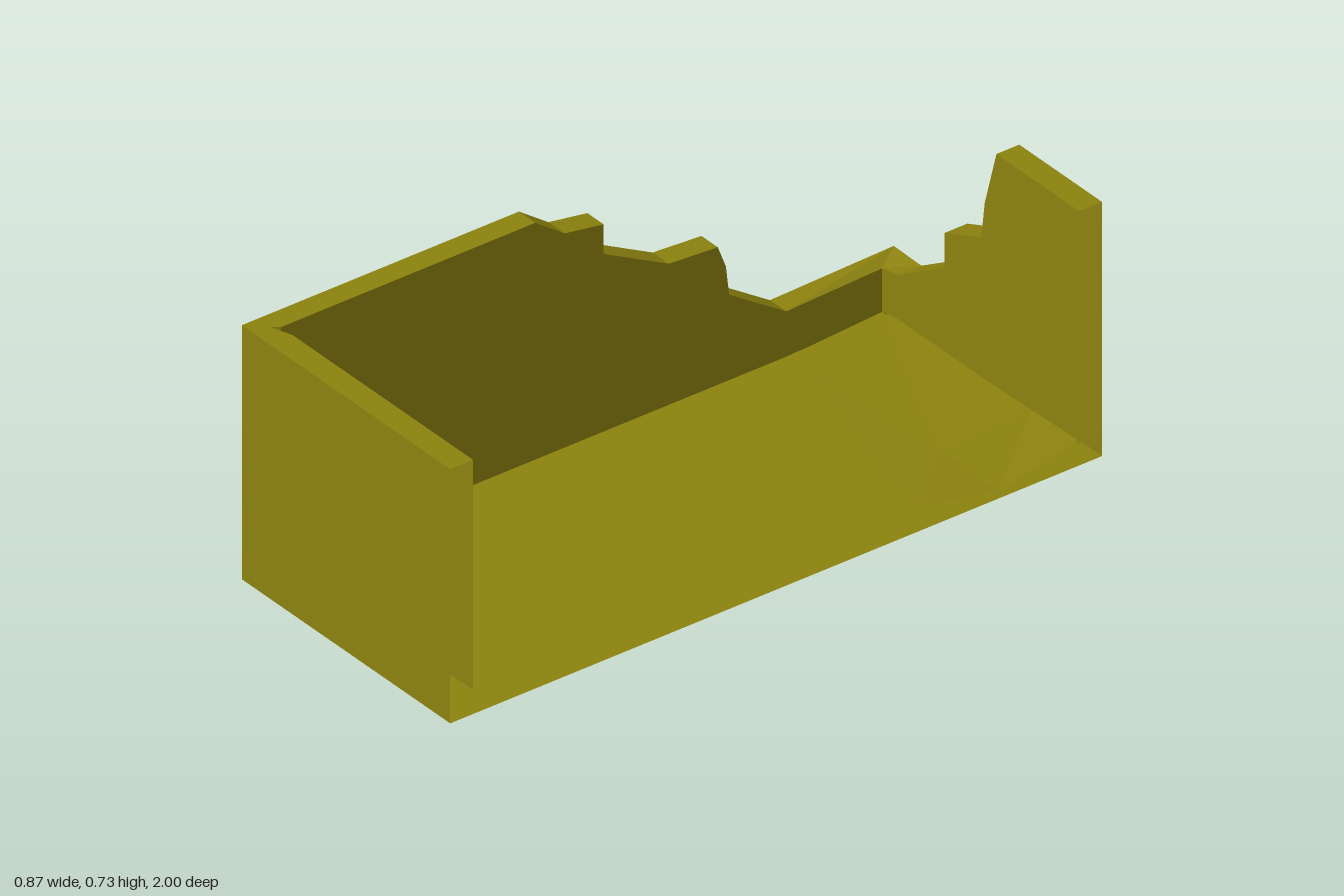
import * as THREE from 'three';

const material = new THREE.MeshStandardMaterial({
  color: 0x8c820f, flatShading: true, side: THREE.DoubleSide,
});

// Skin a row of cross-sections (each a list of [x, y, z]) with quads.
function skin(name, sections) {
  const n = sections[0].length;
  const index = [];
  for (let i = 0; i < sections.length - 1; i++) {
    for (let j = 0; j < n - 1; j++) {
      const a = i * n + j, b = a + n;
      index.push(a, b, a + 1, b, b + 1, a + 1);
    }
  }
  const geometry = new THREE.BufferGeometry();
  geometry.setAttribute('position', new THREE.Float32BufferAttribute(sections.flat(2), 3));
  geometry.setIndex(index);
  geometry.computeVertexNormals();
  const mesh = new THREE.Mesh(geometry, material);
  mesh.name = name;
  return mesh;
}

// Wall section: up the outside, across the rim, down the inside.
// outer and inner are [x, z]; the two rim heights may differ.
const wallSection = (outer, inner, top, innerTop = top, foot = 0.06) => [
  [outer[0], 0, outer[1]],
  [outer[0], top, outer[1]],
  [inner[0], innerTop, inner[1]],
  [inner[0], foot, inner[1]],
];

export function createModel() {
  const group = new THREE.Group();
  group.name = 'ruinedHouse';
  const L = -0.44, R = 0.39, H = 0.73;

  // Intact front wall, open at its +x end
  group.add(skin('frontWall', [
    wallSection([L, 1], [-0.39, 0.95], H, H, 0.05),
    wallSection([-0.33, 1], [-0.33, 0.93], H, H, 0.05),
    wallSection([R, 1], [R, 0.93], H, H, 0.07),
  ]));

  // Side wall, crumbling in steps toward the back: [z, height]
  const sideProfile = [
    [0.93, H], [0.15, H], [0.06, 0.665], [-0.06, 0.645], [-0.06, 0.56],
    [-0.26, 0.455], [-0.41, 0.445], [-0.435, 0.38], [-0.445, 0.295],
    [-0.62, 0.18],
  ];
  group.add(skin('sideWall', [
    wallSection([L, 1], [-0.39, 0.95], H, H, 0.05),
    ...sideProfile.map(([z, y]) => wallSection([L, z], [-0.375, z], y, y, 0.05)),
    wallSection([L, -1], [-0.395, -0.93], 0.19, 0.175, 0.05),
  ]));

  // Back wall, broken down toward the side wall: [x, height]
  const backProfile = [
    [-0.33, 0.188], [-0.138, 0.305], [-0.147, 0.4], [0, 0.46],
    [0.013, 0.565], [0.06, H], [R, H],
  ];
  group.add(skin('backWall', [
    wallSection([L, -1], [-0.395, -0.93], 0.19, 0.175, 0.05),
    ...backProfile.map(([x, y]) => wallSection([x, -1], [x, -0.93], y)),
  ]));

  // Floor, with a worn lip spilling over the open side
  group.add(skin('floor', [
    [[-0.39, 0.05, 0.95], [-0.33, 0.05, 0.93], [R, 0.07, 0.93]],
    [[-0.375, 0.05, -0.45], [0.2, 0.065, -0.45], [R, 0.07, -0.45]],
    [[-0.375, 0.05, -0.65], [0.2, 0.06, -0.65], [0.43, 0.052, -0.65]],
    [[-0.395, 0.05, -0.93], [0.2, 0.065, -0.93], [0.385, 0.07, -0.93]],
  ]));

  // Underside
  group.add(skin('base', [
    [[L, 0, 1], [R, 0, 1]],
    [[L, 0, -1], [R, 0, -1]],
  ]));

  return group;
}
